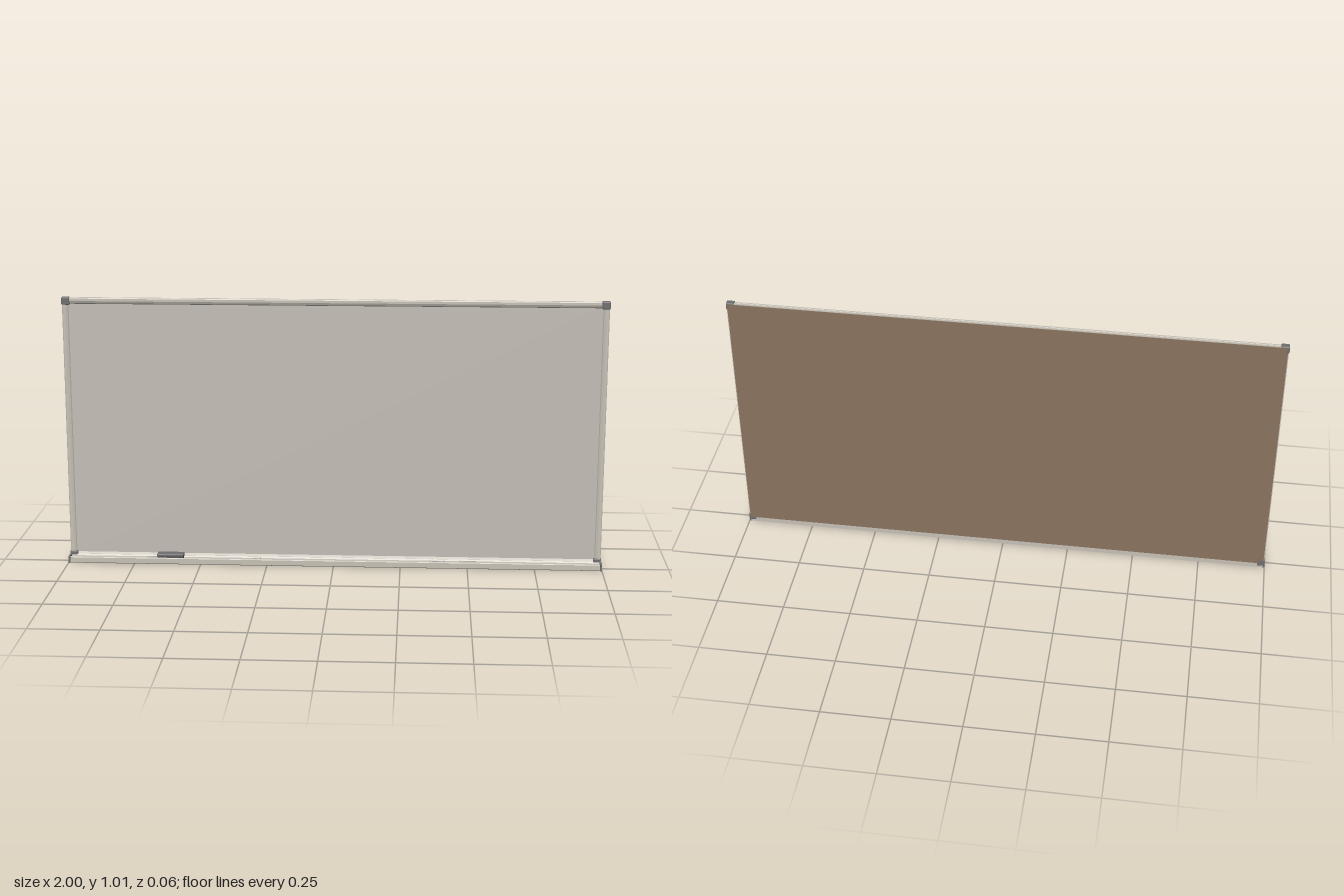
import * as THREE from 'three';
import { RoundedBoxGeometry } from 'three/addons/geometries/RoundedBoxGeometry.js';

const material = (name, color) => new THREE.MeshStandardMaterial({ name, color });

// Extrudes a [z, y] outline along x, centred on x = 0
function extrudeAlongX(points, length) {
  const shape = new THREE.Shape(points.map(([z, y]) => new THREE.Vector2(-z, y)));
  return new THREE.ExtrudeGeometry(shape, { depth: length, bevelEnabled: false })
    .translate(0, 0, -length / 2)
    .rotateY(Math.PI / 2);
}

export function createModel() {
  const model = new THREE.Group();
  const surface = material('board grey', 0xc3bdb5);
  const aluminium = material('frame aluminium', 0xc6c1b6);
  const backing = material('backing brown', 0x8a735e);
  const plastic = material('dark grey plastic', 0x6e6e6e);
  const felt = material('felt grey', 0x565656);
  const chalk = material('chalk white', 0xd8d4cc);

  function add(name, geometry, mat, x = 0, y = 0, z = 0) {
    const mesh = new THREE.Mesh(geometry, mat);
    mesh.name = name;
    mesh.position.set(x, y, z);
    model.add(mesh);
    return mesh;
  }
  const box = (w, h, d) => new THREE.BoxGeometry(w, h, d);

  // Writing surface and brown back panel
  add('writingSurface', box(1.97, 0.98, 0.006), surface, 0, 0.505, -0.021);
  add('backPanel', box(1.99, 0.982, 0.005), backing, 0, 0.51, -0.0275);

  // Frame rails: outer edge at y = 0, sloping down to the writing surface
  const railOutline = [
    [-0.0285, 0], [-0.021, 0], [-0.02, -0.001], [-0.019, 0], [-0.013, 0], [-0.0105, -0.003],
    [-0.0105, -0.012], [-0.014, -0.02], [-0.019, -0.024], [-0.0285, -0.024],
  ];
  const top = 1.004, half = 0.998;
  add('topRail', extrudeAlongX(railOutline, 1.97), aluminium, 0, top, 0);
  add('bottomRail', extrudeAlongX(railOutline, 1.97), aluminium, 0, 0.008, 0).rotation.z = Math.PI;
  for (const side of [-1, 1]) {
    const rail = add('sideRail', extrudeAlongX(railOutline, 0.98), aluminium, side * half, 0.507, 0);
    rail.rotation.z = -side * Math.PI / 2;
  }

  // Tray with a raised front lip and a shallow trough
  add('tray', extrudeAlongX([
    [-0.0295, 0], [0.027, 0], [0.03, 0.003], [0.03, 0.022], [0.028, 0.024], [0.024, 0.024],
    [0.021, 0.019], [-0.006, 0.019], [-0.01, 0.024], [-0.0295, 0.024],
  ], 1.99), aluminium);

  // Corner caps, with the lower pair closing the tray ends
  for (const side of [-1, 1]) {
    add('topCornerCap', new RoundedBoxGeometry(0.03, 0.028, 0.023, 2, 0.004),
      plastic, side * 0.985, 0.992, -0.0185);
    add('bottomCornerCap', new RoundedBoxGeometry(0.03, 0.03, 0.022, 2, 0.004),
      plastic, side * 0.985, 0.021, -0.019);
    add('trayEndCap', extrudeAlongX([
      [-0.03, 0], [0.032, 0], [0.032, 0.025], [-0.008, 0.025], [-0.012, 0.034], [-0.03, 0.034],
    ], 0.007), plastic, side * 0.9965);
  }

  // Eraser
  add('eraserFelt', box(0.098, 0.009, 0.034), felt, -0.615, 0.0235, 0.004);
  add('eraserHandle', new RoundedBoxGeometry(0.1, 0.01, 0.036, 2, 0.003),
    plastic, -0.615, 0.032, 0.004);

  // Chalk pieces lying in the trough: x, length, turn
  for (const [x, length, turn] of [
    [-0.685, 0.04, 0.12], [-0.29, 0.03, -0.06], [0.388, 0.06, -0.1], [0.503, 0.06, 0.08],
  ]) {
    const stick = new THREE.CylinderGeometry(0.003, 0.003, length, 10).rotateZ(Math.PI / 2);
    add('chalkStick', stick, chalk, x, 0.0215, 0).rotation.y = turn;
  }
  return model;
}
